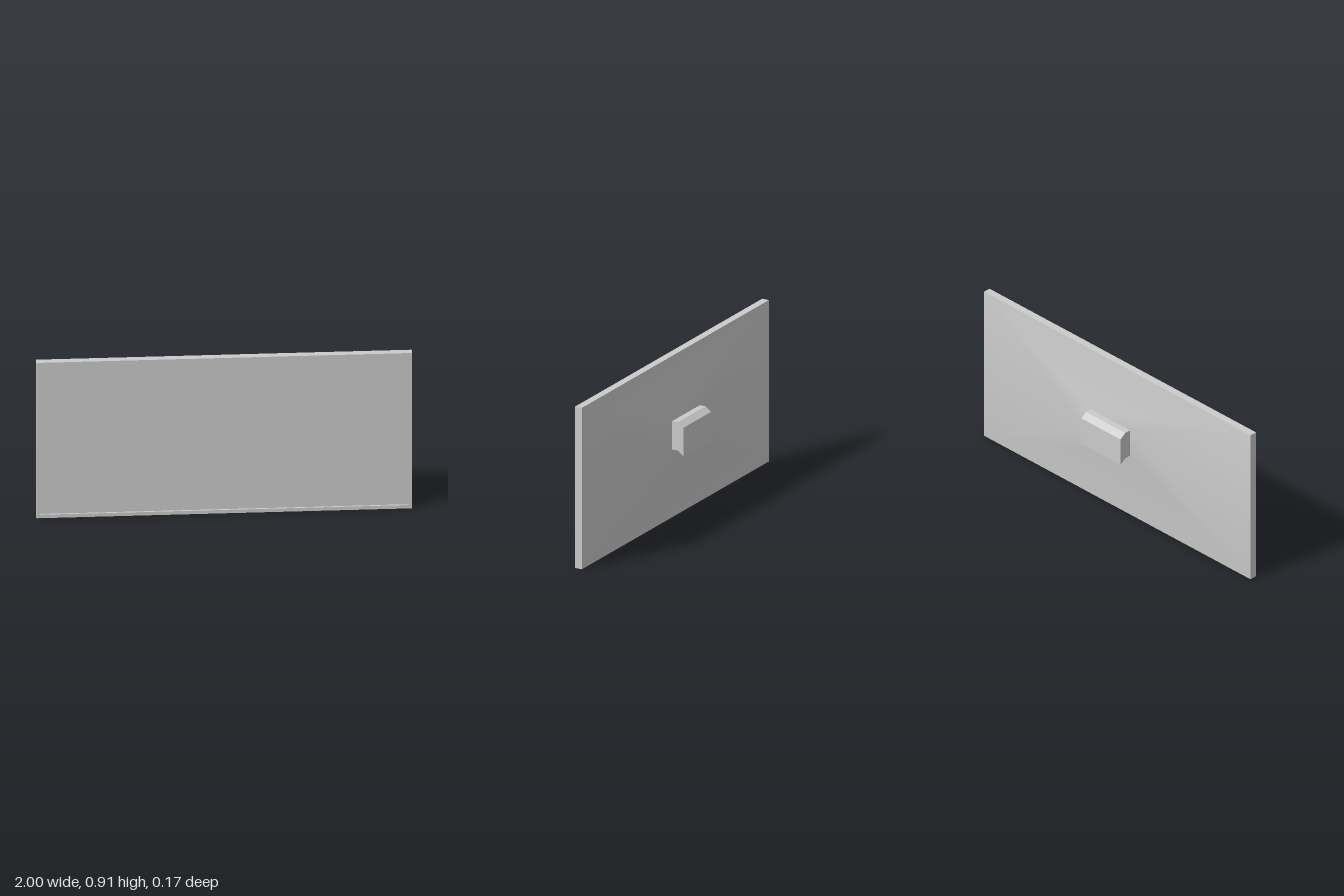
import * as THREE from 'three';

const W = 2, H = 0.908, BORDER = 0.02;
const FRONT = 0.087, BACK = 0.045, HUB = -0.015, TAIL = -0.085;
const MX0 = -0.155, MX1 = 0.14, MY0 = 0.423, MY1 = 0.583;

const rect = (x0, y0, x1, y1) => [[x0, y0], [x1, y0], [x1, y1], [x0, y1]];
const vec2 = pts => pts.map(([x, y]) => new THREE.Vector2(x, y));

export function createModel() {
  const group = new THREE.Group();
  const material = new THREE.MeshStandardMaterial({ color: 0xcccccc });
  const add = (name, geometry) => {
    const mesh = new THREE.Mesh(geometry, material);
    mesh.name = name;
    group.add(mesh);
    return mesh;
  };

  // Rectangular bezel around the screen
  const outer = rect(-W / 2, 0, W / 2, H);
  const bezel = new THREE.Shape(vec2(outer));
  bezel.holes.push(new THREE.Path(vec2(rect(-W / 2 + BORDER, BORDER, W / 2 - BORDER, H - BORDER))));
  add('bezel', new THREE.ExtrudeGeometry(bezel, { depth: FRONT - BACK, bevelEnabled: false }))
    .position.z = BACK;

  // Slightly recessed screen
  add('screen', new THREE.PlaneGeometry(W - 2 * BORDER, H - 2 * BORDER))
    .position.set(0, H / 2, FRONT - 0.01);

  // Smooth rear shell tapering from the bezel to the mount
  const inner = rect(MX0, MY0, MX1, MY1);
  const positions = [...outer.map(p => [...p, BACK]), ...inner.map(p => [...p, HUB])].flat();
  const index = [];
  for (let i = 0; i < 4; i++) {
    const j = (i + 1) % 4;
    index.push(i, i + 4, j, i + 4, j + 4, j);
  }
  index.push(4, 6, 5, 4, 7, 6);
  const shell = new THREE.BufferGeometry();
  shell.setAttribute('position', new THREE.Float32BufferAttribute(positions, 3));
  shell.setIndex(index);
  shell.computeVertexNormals();
  add('rearShell', shell);

  // Wall mount: side profile (distance backwards, height) swept across x
  const profile = new THREE.Shape(vec2([
    [-HUB, MY0], [0.05, MY0], [-TAIL, MY0 - 0.025],
    [-TAIL, MY1 - 0.025], [0.05, MY1], [-HUB, MY1],
  ]));
  const mount = new THREE.ExtrudeGeometry(profile, { depth: MX1 - MX0, bevelEnabled: false });
  mount.rotateY(Math.PI / 2);
  add('wallMount', mount).position.x = MX0;

  return group;
}
